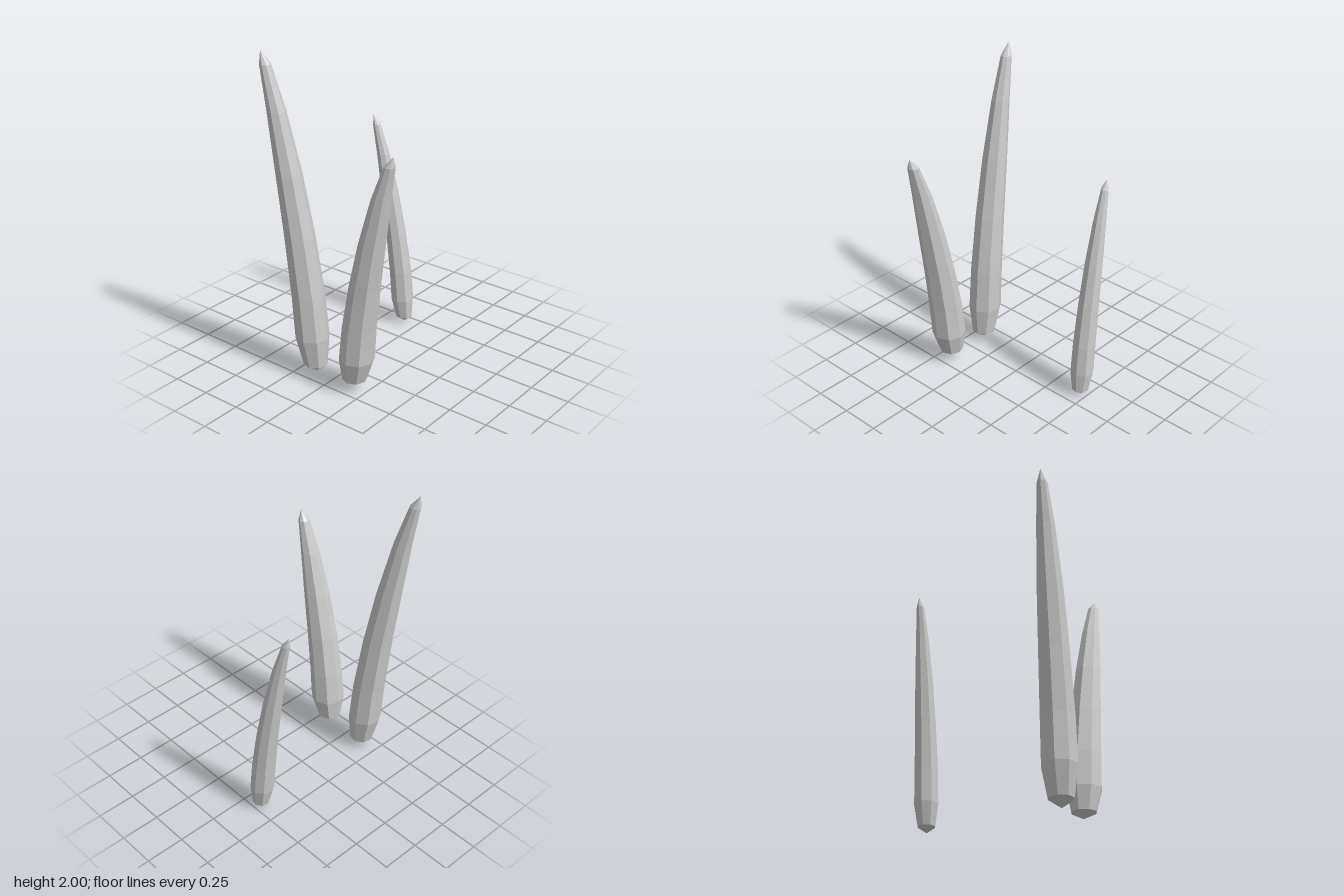
import * as THREE from 'three';

// Spike cross-sections from bottom to tip: [height, radius, lean], each as a fraction
const PROFILE = [
  [0, 0, 0], [0.026, 0.71, 0.02], [0.12, 1, 0.08], [0.26, 0.97, 0.15], [0.45, 0.88, 0.3],
  [0.64, 0.75, 0.49], [0.827, 0.54, 0.71], [0.96, 0.32, 0.91], [1, 0, 1],
];

// Eight-sided spike that swells above its pointed foot and bends towards +z
function spikeGeometry(height, radius, lean) {
  const points = PROFILE.map(([h, r]) => new THREE.Vector2(r * radius, h * height));
  const geometry = new THREE.LatheGeometry(points, 8);
  const pos = geometry.attributes.position;
  for (let i = 0; i < pos.count; i++) {
    const bend = PROFILE[i % PROFILE.length][2];
    pos.setZ(i, pos.getZ(i) + bend * lean);
  }
  geometry.computeVertexNormals();
  return geometry;
}

export function createModel() {
  const group = new THREE.Group();
  group.name = 'spikes';
  const material = new THREE.MeshStandardMaterial({ color: 0xcccccc, flatShading: true });

  const addSpike = (name, [x, y, z], height, radius, lean, turn) => {
    const mesh = new THREE.Mesh(spikeGeometry(height, radius, lean), material);
    mesh.name = name;
    mesh.position.set(x, y, z);
    mesh.rotation.y = turn;
    group.add(mesh);
  };

  // The two rear spikes share one shape at different sizes and bend backwards
  const rearTurn = Math.PI + 0.17;
  addSpike('frontSpike', [-0.415, 0.035, 0.165], 1.512, 0.107, 0.285, 0);
  addSpike('tallRearSpike', [-0.414, 0.015, -0.13], 1.985, 0.106, 0.325, rearTurn);
  addSpike('smallRearSpike', [0.45, 0, -0.103], 1.41, 0.075, 0.235, rearTurn);

  return group;
}
